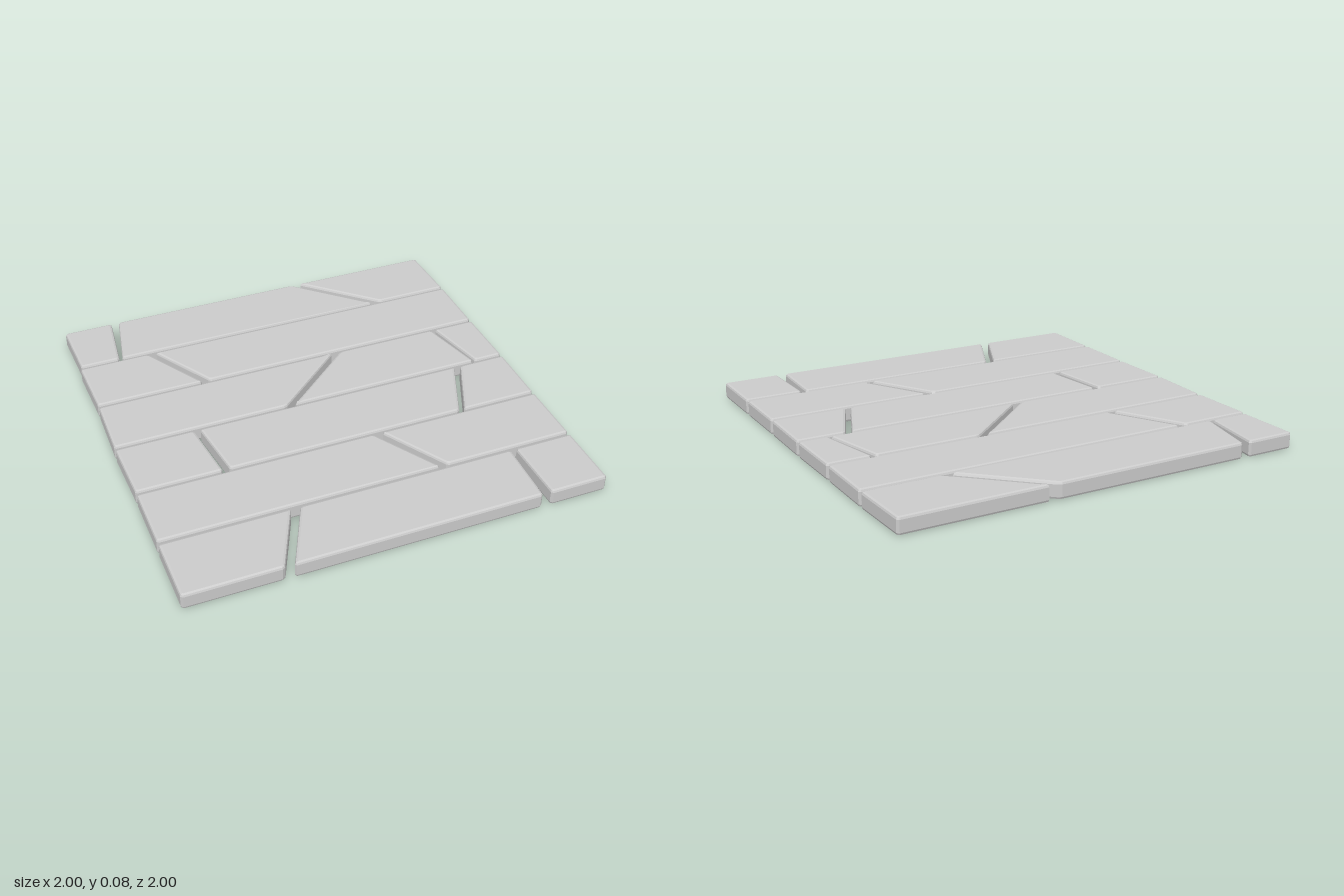
import * as THREE from 'three';

const HEIGHT = 0.08, BEVEL = 0.012, CUT = 0.01;

// each row: back z, front z, then planks as [backLeft, backRight, frontRight, frontLeft] x
const ROWS = [
  [-1, -0.682, [[-1, -0.756, -0.797, -0.992], [-0.718, 0.245, 0.585, -0.783], [0.288, 0.986, 0.997, 0.63]]],
  [-0.668, -0.347, [[-1, -0.654, -0.467, -0.992], [-0.617, 0.997, 0.997, -0.43]]],
  [-0.332, -0.012, [[-0.992, 0.213, -0.155, -1], [0.256, 0.764, 0.845, -0.113], [0.784, 0.997, 1, 0.857]]],
  [0.003, 0.323, [[-1, -0.622, -0.585, -0.992], [-0.594, 0.732, 0.6, -0.552], [0.764, 1, 0.997, 0.625]]],
  [0.338, 0.658, [[-0.992, 0.143, 0.336, -0.992], [0.186, 0.997, 0.997, 0.374]]],
  [0.675, 1, [[-0.992, -0.392, -0.542, -0.992], [-0.349, 0.684, 0.673, -0.5], [0.71, 0.997, 0.997, 0.716]]],
];

// bevelled slab over a four-cornered outline with clipped corners
function plankGeometry(corners) {
  const points = [];
  corners.forEach((p, i) => {
    for (const q of [corners[(i + 3) % 4], corners[(i + 1) % 4]]) {
      points.push(p.clone().add(q.clone().sub(p).setLength(CUT)));
    }
  });
  const geometry = new THREE.ExtrudeGeometry(new THREE.Shape(points), {
    depth: HEIGHT - 2 * BEVEL,
    bevelThickness: BEVEL,
    bevelSize: BEVEL,
    bevelOffset: -BEVEL,
    bevelSegments: 2,
  });
  return geometry.rotateX(-Math.PI / 2).translate(0, BEVEL, 0);
}

export function createModel() {
  const floor = new THREE.Group();
  floor.name = 'plankFloor';
  const material = new THREE.MeshStandardMaterial({ color: 0xcccccc });

  ROWS.forEach(([back, front, planks], r) => {
    const row = new THREE.Group();
    row.name = `plankRow${r + 1}`;
    planks.forEach(([bl, br, fr, fl], i) => {
      // shape y is -z
      const corners = [[fl, -front], [fr, -front], [br, -back], [bl, -back]]
        .map(([x, y]) => new THREE.Vector2(x, y));
      const plank = new THREE.Mesh(plankGeometry(corners), material);
      plank.name = `plank${i + 1}`;
      row.add(plank);
    });
    floor.add(row);
  });
  return floor;
}
